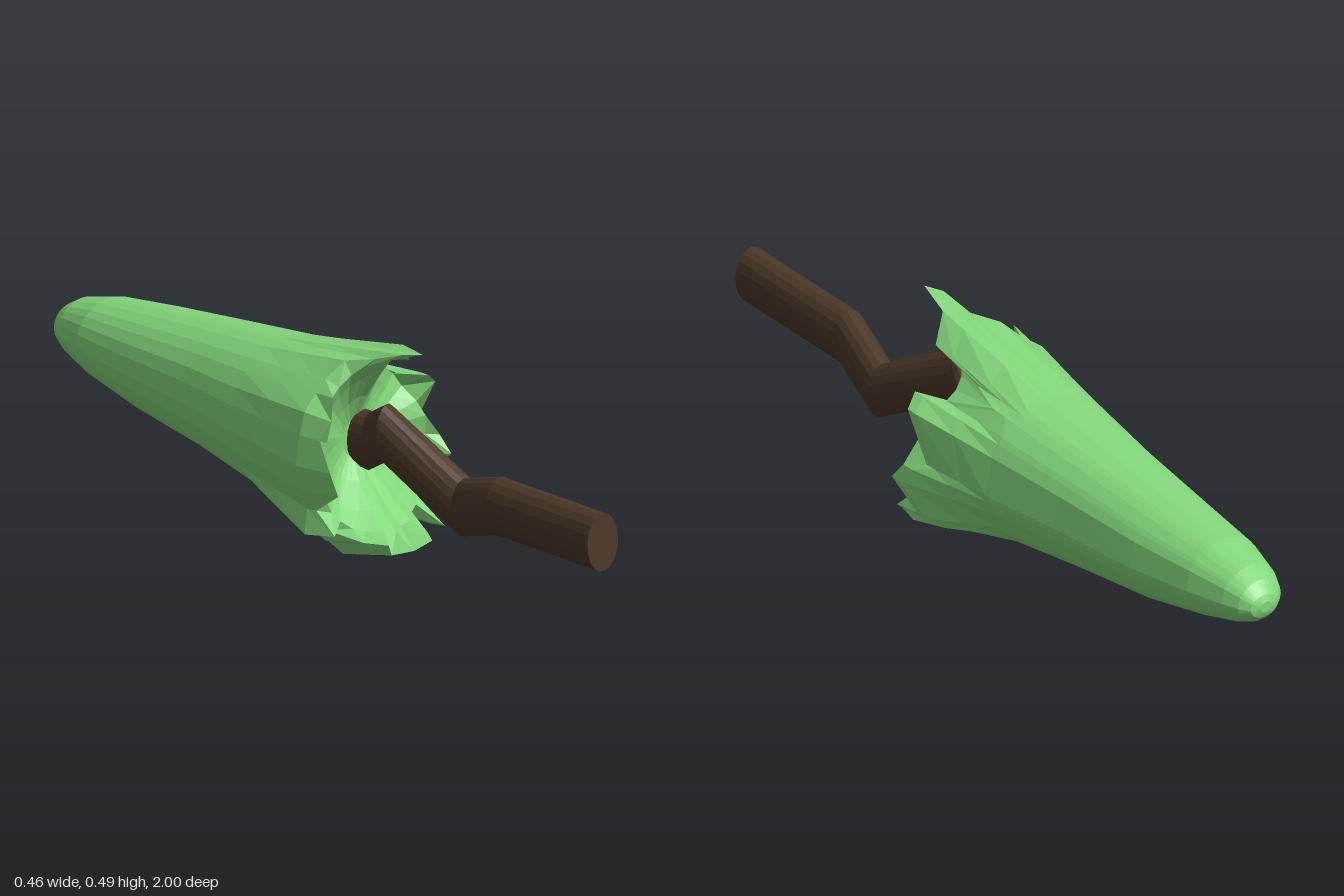
import * as THREE from 'three';

// Joins rings of equal length into a skin and closes both ends with a fan.
// Rings run counter-clockwise seen from +z and are ordered from back to front.
function loft(rings, color, name) {
  const n = rings[0].length, pos = [], idx = [];
  rings.forEach(r => r.forEach(p => pos.push(...p)));
  for (let k = 0; k < rings.length - 1; k++) {
    for (let i = 0; i < n; i++) {
      const a = k * n + i, b = k * n + (i + 1) % n;
      idx.push(a, b, b + n, a, b + n, a + n);
    }
  }
  const cap = (ring, start, front) => {
    const c = pos.length / 3;
    for (let j = 0; j < 3; j++) pos.push(ring.reduce((s, p) => s + p[j], 0) / n);
    for (let i = 0; i < n; i++) {
      const a = start + i, b = start + (i + 1) % n;
      if (front) idx.push(c, a, b); else idx.push(c, b, a);
    }
  };
  cap(rings[0], 0, false);
  cap(rings[rings.length - 1], (rings.length - 1) * n, true);
  const geo = new THREE.BufferGeometry();
  geo.setAttribute('position', new THREE.Float32BufferAttribute(pos, 3));
  geo.setIndex(idx);
  geo.computeVertexNormals();
  const mat = new THREE.MeshStandardMaterial({ color, flatShading: true, side: THREE.DoubleSide });
  const mesh = new THREE.Mesh(geo, mat);
  mesh.name = name;
  return mesh;
}

// Ragged rim of the foliage: x, y, z
const RIM = [
  [0.23, 0.17, 0.12], [0.22, 0.21, 0.09], [0.2, 0.23, 0.03], [0.2, 0.34, 0.1],
  [0.165, 0.365, 0.12], [0.13, 0.36, 0.05], [0.105, 0.395, -0.09], [0.08, 0.405, 0.0],
  [0.07, 0.43, 0.17], [0.02, 0.483, 0.21], [-0.01, 0.49, 0.32], [-0.035, 0.485, 0.28],
  [-0.05, 0.46, 0.2], [-0.09, 0.45, 0.14], [-0.13, 0.41, 0.12], [-0.17, 0.39, 0.2],
  [-0.205, 0.35, 0.22], [-0.22, 0.3, 0.2], [-0.23, 0.23, 0.24], [-0.215, 0.17, 0.25],
  [-0.19, 0.12, 0.16], [-0.205, 0.065, 0.23], [-0.165, 0.07, 0.16], [-0.145, 0.04, 0.26],
  [-0.115, 0.03, 0.31], [-0.095, 0.0, 0.3], [-0.05, 0.005, 0.33], [0.02, 0.02, 0.32],
  [0.09, 0.02, 0.22], [0.12, 0.04, 0.08], [0.155, 0.025, 0.2], [0.165, 0.065, 0.04],
  [0.2, 0.08, 0.14], [0.21, 0.1, 0.05],
];
const CY = 0.24, N = RIM.length;

// Cross-sections of the cone: z, left x, right x, bottom y, top y
const SECTIONS = [
  [-1, 0.005, 0.035, 0.247, 0.273],
  [-0.993, -0.018, 0.058, 0.232, 0.288],
  [-0.97, -0.043, 0.077, 0.212, 0.314],
  [-0.93, -0.062, 0.093, 0.195, 0.334],
  [-0.83, -0.09, 0.117, 0.167, 0.357],
  [-0.65, -0.112, 0.142, 0.13, 0.376],
  [-0.4, -0.14, 0.163, 0.098, 0.4],
  [-0.17, -0.178, 0.185, 0.062, 0.422],
];

// Scales a point towards the axis of the foliage
const shrink = ([x, y, z], s) => [x * s, CY + (y - CY) * s, z];

function createFoliage() {
  const angles = RIM.map(([x, y]) => Math.atan2(y - CY, x));
  const rings = SECTIONS.map(([z, x0, x1, y0, y1]) => angles.map(a => [
    (x0 + x1) / 2 + Math.cos(a) * (x1 - x0) / 2,
    (y0 + y1) / 2 + Math.sin(a) * (y1 - y0) / 2, z]));
  // Flare to the widest ring, then a lip that curls in, except on the straight top spike
  const last = rings[rings.length - 1];
  const mix = (p, q, t) => p.map((v, j) => THREE.MathUtils.lerp(v, q[j], t));
  const hull = RIM.map((p, i) => p[1] < 0.38
    ? [p[0], p[1], Math.min(p[2] - 0.03, 0.14)] : mix(last[i], p, 0.8));
  rings.push(hull.map((p, i) => mix(last[i], p, 0.5)), hull);
  const lip = RIM.map(p => shrink(p, p[1] < 0.38 ? 1 - Math.max(0, p[2] - 0.14) * 0.8 : 1));
  rings.push(lip);
  // Bowl-shaped hollow: rim evened out over its neighbours, sloping to a floor
  const even = lip.map((_, i) => [0, 1, 2].map(j =>
    [-2, -1, 0, 1, 2].reduce((s, d) => s + lip[(i + d + N) % N][j], 0) / 5));
  for (const [s, depth] of [[0.9, 0.25], [0.72, 0.5], [0.45, 0.8], [0.2, 1]]) {
    rings.push(even.map(([x, y, z]) => shrink([x, y, THREE.MathUtils.lerp(z, 0.07, depth)], s)));
  }
  return loft(rings, 0x84d87c, 'foliage');
}

function createTrunk() {
  // Crooked centre line with the slant of each ring: x, y, z, dz per dx
  const path = [
    [0.015, 0.235, 0.03, 0], [0.015, 0.235, 0.1, -0.4], [-0.042, 0.293, 0.23, -0.4],
    [0.001, 0.165, 0.46, 0], [-0.034, 0.213, 0.63, 0], [-0.034, 0.213, 1, 0],
  ];
  const sides = 18;
  const rings = path.map(([x, y, z, slant]) => Array.from({ length: sides }, (_, i) => {
    const a = i / sides * Math.PI * 2, dx = 0.044 * Math.cos(a);
    return [x + dx, y + 0.068 * Math.sin(a), z + dx * slant];
  }));
  return loft(rings, 0x4c3828, 'trunk');
}

export function createModel() {
  const tree = new THREE.Group();
  tree.name = 'fallenTree';
  tree.add(createFoliage(), createTrunk());
  return tree;
}
